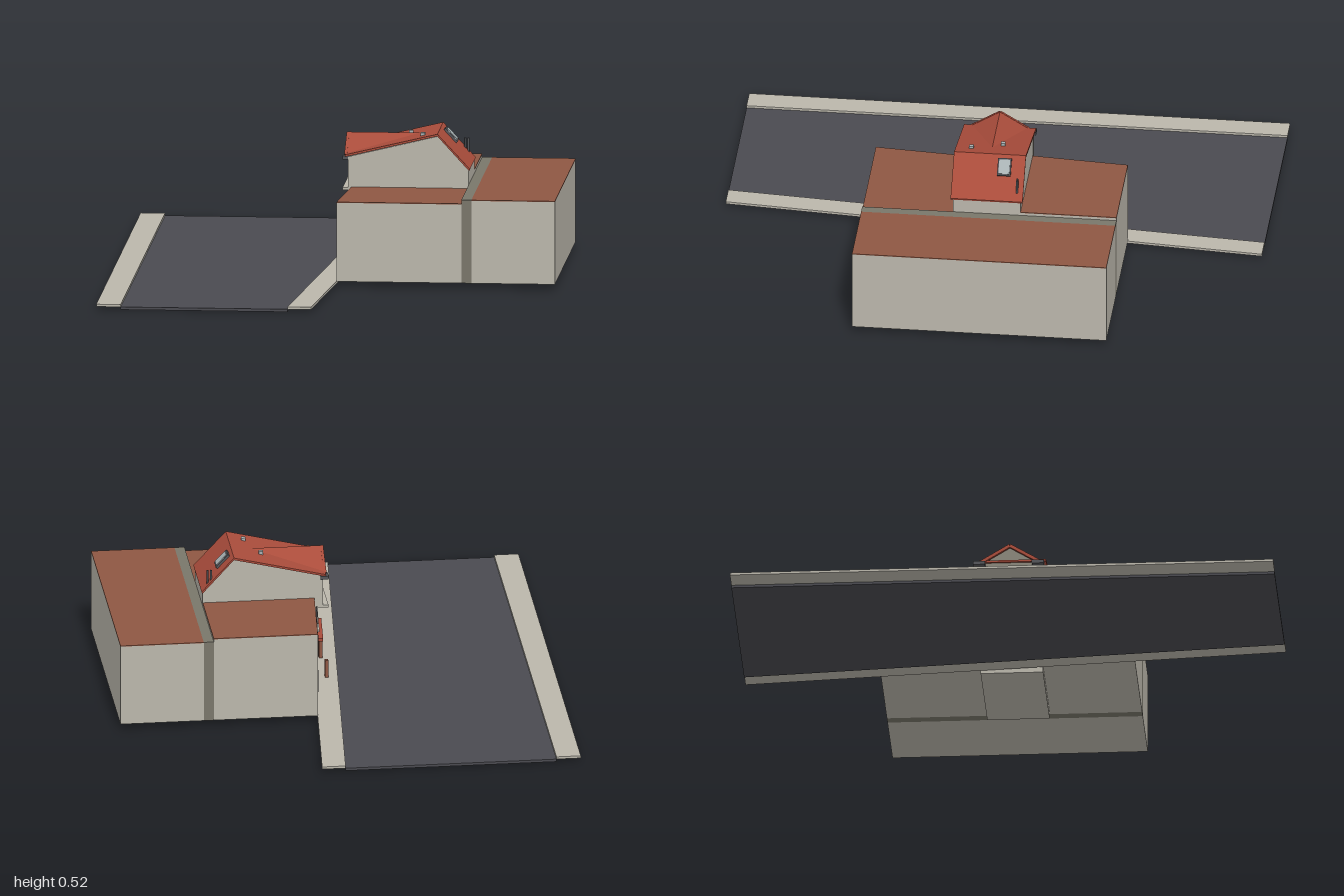
import * as THREE from 'three';

const mat = (name, color) => {
  const m = new THREE.MeshStandardMaterial({ color, side: THREE.DoubleSide });
  m.name = name;
  return m;
};

export function createModel() {
  const root = new THREE.Group();
  root.name = 'streetHouse';
  const stone = mat('stone', 0xbab6ab), asphalt = mat('asphalt', 0x4a4a50), brown = mat('flatRoofBrown', 0x8e5743),
    red = mat('tileRed', 0xa94c3b), joint = mat('jointGrey', 0x79766a), glass = mat('darkGlass', 0x3c3e46),
    facadeGrey = mat('facadeGrey', 0x8a867a), metal = mat('metalGrey', 0x55565a), pale = mat('paleGlass', 0xa9b3b5);

  const add = (name, geo, m, parent = root) => {
    const mesh = new THREE.Mesh(geo, m);
    mesh.name = name;
    parent.add(mesh);
    return mesh;
  };
  const shapeOf = (pts) => new THREE.Shape(pts.map(([a, b]) => new THREE.Vector2(a, b)));
  // Prism from a plan outline of [x, z] points
  const plan = (name, pts, y0, y1, m) => {
    const g = new THREE.ExtrudeGeometry(shapeOf(pts), { depth: y1 - y0, bevelEnabled: false });
    g.rotateX(Math.PI / 2).translate(0, y1, 0);
    return add(name, g, m);
  };
  // Prism from a side profile of [x, y] points
  const profile = (name, pts, z0, z1, m) => {
    const g = new THREE.ExtrudeGeometry(shapeOf(pts), { depth: z1 - z0, bevelEnabled: false });
    return add(name, g.translate(0, 0, z0), m);
  };
  const box = (name, x0, x1, y0, y1, z0, z1, m) => {
    const mesh = add(name, new THREE.BoxGeometry(x1 - x0, y1 - y0, z1 - z0), m);
    mesh.position.set((x0 + x1) / 2, (y0 + y1) / 2, (z0 + z1) / 2);
    return mesh;
  };

  // Street and pavements
  plan('road', [[-0.735, -1], [0.045, -1], [-0.12, 1], [-0.735, 1]], 0.002, 0.012, asphalt);
  box('farPavement', -0.825, -0.735, 0.012, 0.021, -1, 1, stone);
  plan('nearPavement', [[0.045, -1], [0.132, -1], [-0.033, 1], [-0.12, 1]], 0.012, 0.021, stone);
  box('basement', 0.06, 0.465, 0, 0.022, -0.13, 0.1, stone);

  // Front walls follow the slanted street line
  const fx = (z) => 0.05 - 0.08 * z;
  const rowHouse = (name, z0, z1, top) => {
    const pts = [[fx(z0), z0], [0.475, z0], [0.475, z1], [fx(z1), z1]];
    plan(name, pts, 0.022, top - 0.003, stone);
    plan(name + 'Roof', pts, top - 0.003, top, brown);
  };
  rowHouse('backSideHouse', -0.5, -0.145, 0.345);
  rowHouse('frontSideHouse', 0.105, 0.44, 0.318);
  plan('middleHouse', [[fx(-0.145), -0.145], [0.475, -0.145], [0.475, 0.105], [fx(0.105), 0.105]], 0.022, 0.315, stone);
  box('jointStrip', 0.475, 0.512, 0.022, 0.332, -0.5, 0.44, joint);
  box('rearBlock', 0.512, 0.82, 0.022, 0.329, -0.5, 0.44, stone);
  box('rearRoof', 0.512, 0.82, 0.329, 0.332, -0.5, 0.44, brown);

  // Upper storey with side gables and two roof slopes
  profile('upperStorey', [[0.04, 0.31], [0.475, 0.31], [0.475, 0.385], [0.36, 0.51], [0.04, 0.433]], -0.145, 0.105, stone);
  profile('streetRoofSlope', [[0.02, 0.431], [0.36, 0.512], [0.36, 0.52], [0.02, 0.439]], -0.153, 0.113, red);
  profile('rearRoofSlope', [[0.36, 0.512], [0.477, 0.384], [0.48, 0.391], [0.36, 0.52]], -0.153, 0.113, red);

  // Cross gable that runs from the street into the main slope
  const ridge = 0.502, mid = -0.02, half = 0.105, eave = 0.438;
  const tris = (name, pts, m) => {
    const g = new THREE.BufferGeometry();
    g.setAttribute('position', new THREE.Float32BufferAttribute(pts.flat(), 3));
    g.computeVertexNormals();
    return add(name, g, m);
  };
  for (const s of [-1, 1]) {
    const a = [0.018, ridge, mid], b = [0.018, eave, mid + s * half], c = [0.285, ridge, mid], d = [0.02, eave, mid + s * half];
    tris('crossGableSlope', s > 0 ? [a, b, c, b, d, c] : [a, c, b, b, c, d], red);
    // Sloping verge board
    const dz = half, dy = ridge - eave;
    const verge = add('vergeBoard', new THREE.BoxGeometry(0.01, 0.012, Math.hypot(dz, dy)), red);
    verge.position.set(0.02, (ridge + eave) / 2 - 0.006, mid + s * half / 2);
    verge.rotation.x = s * Math.atan2(dy, dz);
  }
  tris('gableWall', [[0.035, ridge - 0.004, mid], [0.035, eave - 0.01, mid - half], [0.035, eave - 0.01, mid + half]], facadeGrey);

  // Roof fittings
  const skylight = new THREE.Group();
  skylight.name = 'skylight';
  skylight.position.set(0.395, 0.486, -0.077);
  skylight.rotation.z = -Math.atan2(0.129, 0.12);
  root.add(skylight);
  add('skylightFrame', new THREE.BoxGeometry(0.066, 0.012, 0.05), metal, skylight);
  add('skylightPane', new THREE.BoxGeometry(0.054, 0.004, 0.04), pale, skylight).position.y = 0.007;
  for (const [x, z, y] of [[0.25, -0.057, 0.5], [0.302, 0.055, 0.51]]) {
    box('roofVent', x - 0.008, x + 0.008, y - 0.015, y + 0.006, z - 0.008, z + 0.008, pale);
  }
  for (const x of [0.443, 0.455]) {
    const pipe = add('chimneyPipe', new THREE.CylinderGeometry(0.004, 0.004, 0.07, 8), metal);
    pipe.position.set(x, 0.432, -0.13);
  }

  // Thin plates on the street front
  const plate = (name, z, y, w, h, m, out = 0.003, deep = 0.006) => {
    const mesh = add(name, new THREE.BoxGeometry(deep, h, w), m);
    mesh.position.set(fx(z) - out, y, z);
    mesh.rotation.y = -0.08;
  };
  for (const [z, isDoor] of [[-0.375, false], [-0.23, true], [0.18, true], [0.325, false]]) {
    plate('upperWindow', z, 0.255, 0.072, 0.07, glass);
    if (isDoor) plate('door', z, 0.085, 0.06, 0.125, glass);
    else plate('lowerWindow', z, 0.115, 0.072, 0.07, glass);
  }

  // Middle front: panel, windows with frames, ledge and posts
  plate('middlePanel', -0.02, 0.17, 0.25, 0.295, facadeGrey, 0.004);
  box('upperPanel', 0.036, 0.042, 0.315, 0.433, -0.145, 0.105, facadeGrey);
  for (const z of [-0.1, -0.02, 0.06]) {
    plate('middleWindow', z, 0.25, 0.055, 0.075, glass, 0.009);
    plate('windowSill', z, 0.208, 0.062, 0.008, stone, 0.012, 0.014);
    box('atticWindow', 0.031, 0.036, 0.345, 0.4, z - 0.022, z + 0.022, glass);
  }
  plate('entrance', -0.02, 0.09, 0.085, 0.135, glass, 0.009);
  for (const z of [-0.105, 0.065]) plate('groundWindow', z, 0.1, 0.05, 0.07, glass, 0.009);
  plate('entranceCanopy', -0.02, 0.168, 0.2, 0.012, red, 0.018, 0.03);
  box('cornice', 0.01, 0.05, 0.306, 0.316, -0.145, 0.105, stone);
  for (const z of [-0.12, 0.075]) {
    box('gatePost', 0.008, 0.02, 0.021, 0.088, z - 0.009, z + 0.009, brown);
  }
  for (const z of [-0.133, 0.083]) {
    box('eaveBracket', 0.01, 0.04, 0.42, 0.433, z - 0.022, z + 0.022, metal);
  }
  for (const z of [-0.14, 0.1]) {
    box('cornerPillar', 0.03, 0.045, 0.315, 0.43, z - 0.006, z + 0.006, stone);
  }
  return root;
}
